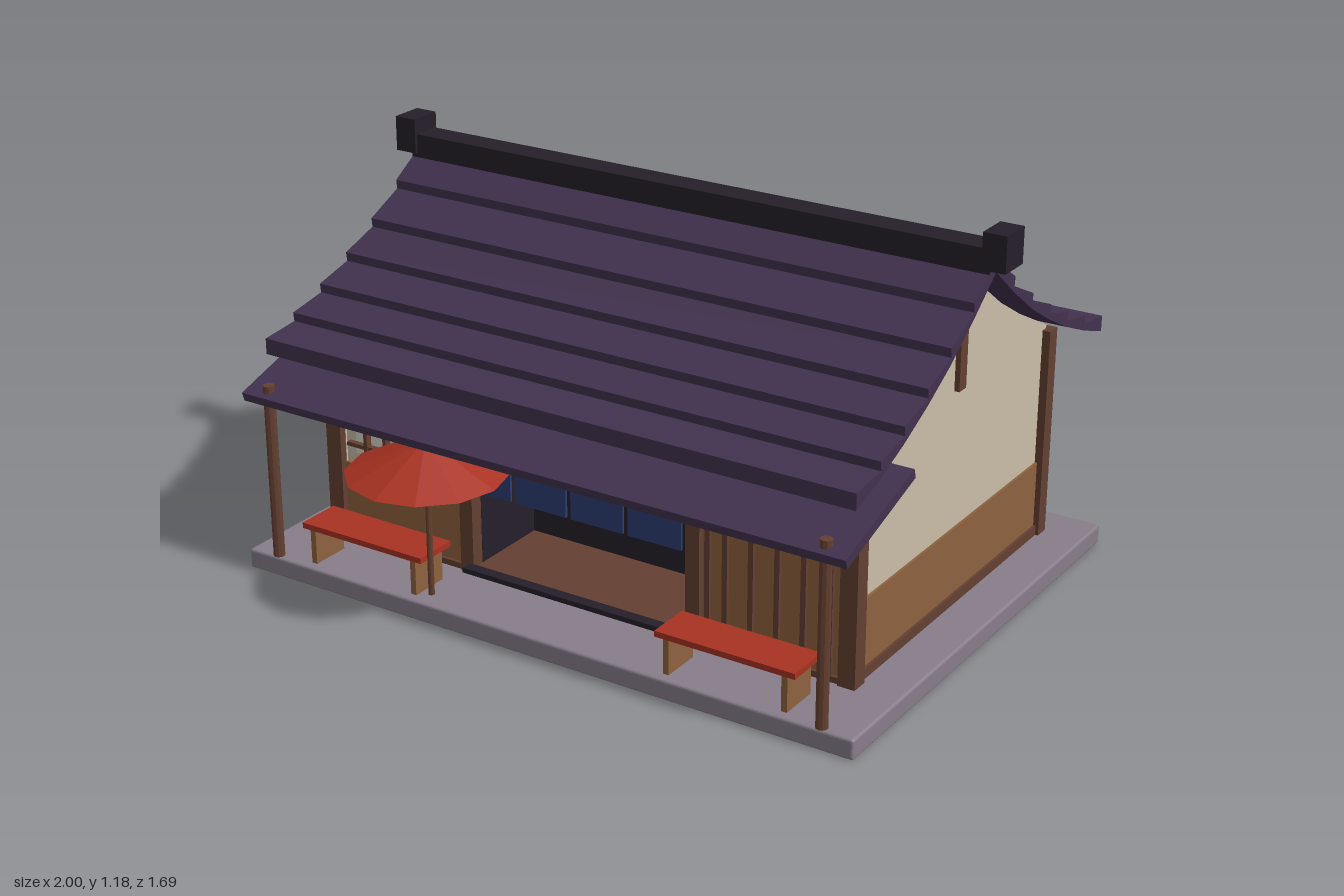
import * as THREE from 'three';
import { RoundedBoxGeometry } from 'three/addons/geometries/RoundedBoxGeometry.js';

const mat = (color, double = false) => new THREE.MeshStandardMaterial({
  color, flatShading: true, side: double ? THREE.DoubleSide : THREE.FrontSide });
const M = {
  stone: mat(0x877d8a), roof: mat(0x41314e), dark: mat(0x241f29), timber: mat(0x643f31),
  wood: mat(0x8f623e), plaster: mat(0xcabda8), paper: mat(0xd9d4ca), blue: mat(0x2f3d72),
  red: mat(0xa83222), redThin: mat(0xa83222, true), lantern: mat(0xc9a869),
};
const RIDGE_Z = -0.12, STEP = 0.121;
// Height of the roof underside at each board edge, from ridge to eave
const EAVE = [1.055, 0.96, 0.875, 0.805, 0.745, 0.695, 0.655];

export function createModel() {
  const root = new THREE.Group();

  function add(name, geometry, material, parent = root) {
    const mesh = new THREE.Mesh(geometry, material);
    mesh.name = name;
    parent.add(mesh);
    return mesh;
  }
  // Box given by its limits on each axis
  function box(name, [x0, x1], [y0, y1], [z0, z1], material, parent = root) {
    const mesh = add(name, new THREE.BoxGeometry(x1 - x0, y1 - y0, z1 - z0), material, parent);
    mesh.position.set((x0 + x1) / 2, (y0 + y1) / 2, (z0 + z1) / 2);
    return mesh;
  }
  function rod(name, radius, y0, y1, x, z, material, parent = root) {
    const mesh = add(name, new THREE.CylinderGeometry(radius, radius, y1 - y0, 10), material, parent);
    mesh.position.set(x, (y0 + y1) / 2, z);
    return mesh;
  }
  // Profile in (z, y) pushed along x and centred on x
  function alongX(name, points, width, x, material) {
    const shape = new THREE.Shape(points.map(([z, y]) => new THREE.Vector2(z, y)));
    const g = new THREE.ExtrudeGeometry(shape, { depth: width, bevelEnabled: false });
    g.translate(0, 0, -width / 2).rotateY(-Math.PI / 2);
    const mesh = add(name, g, material);
    mesh.position.set(x, 0, RIDGE_Z);
    return mesh;
  }

  // Ground slab
  add('baseSlab', new RoundedBoxGeometry(2, 0.06, 1.495, 2, 0.008), M.stone)
    .position.set(0, 0.03, -0.0725);

  // Main roof: overlapping boards following a concave sweep
  const top = [[0, EAVE[0] + 0.03]], under = [];
  EAVE.forEach((y, i) => {
    under.push([i * STEP, y]);
    if (!i) return;
    top.push([i * STEP, y + 0.047]);
    if (i < EAVE.length - 1) top.push([i * STEP - 0.003, y + 0.02]);
  });
  const flip = (list) => list.map(([d, y]) => [-d, y]);
  alongX('mainRoof', [
    ...top, ...under.slice().reverse(),
    ...flip(under.slice(1)), ...flip(top.slice(1)).reverse(),
  ], 1.9, 0, M.roof);

  // Ridge beam with end blocks
  box('ridgeBeam', [-0.95, 0.95], [1.05, 1.13], [-0.165, -0.08], M.dark);
  for (const s of [-1, 1]) {
    const end = box('ridgeEnd', [-0.035, 0.035], [1.073, 1.177], [-0.172, -0.07], M.dark);
    end.position.x = s * 0.965;
  }

  // Gable walls with wainscot, ground sill and centre strut
  const half = under.slice(1, 5);
  const gable = [[-0.55, 0.06], [0.55, 0.06], [0.55, 0.713],
    ...half.slice().reverse(), [0, 1.055], ...flip(half), [-0.55, 0.713]];
  for (const s of [-1, 1]) {
    alongX('gableWall', gable, 0.03, s * 0.84, M.plaster);
    const side = new THREE.Group();
    side.name = 'gableTrim';
    side.position.x = s * 0.85;
    root.add(side);
    box('sideWainscot', [-0.012, 0.012], [0.06, 0.29], [-0.66, 0.41], M.wood, side);
    box('sideSill', [-0.02, 0.02], [0.06, 0.09], [-0.66, 0.41], M.timber, side);
    box('gableStrut', [-0.02, 0.02], [0.705, 1.05], [-0.14, -0.1], M.timber, side);
  }

  // Back wall
  box('backWall', [-0.85, 0.85], [0.06, 0.705], [-0.685, -0.655], M.plaster);
  box('backWainscot', [-0.85, 0.85], [0.06, 0.29], [-0.69, -0.66], M.wood);
  box('backSill', [-0.85, 0.85], [0.06, 0.09], [-0.695, -0.66], M.timber);

  // Timber posts at the corners and beside the entrance
  for (const x of [-0.853, -0.378, 0.378, 0.853]) {
    const w = Math.abs(x) > 0.5 ? 0.026 : 0.022;
    box('frontPost', [x - w, x + w], [0.06, 0.7], [0.4, 0.452], M.timber);
    box('backPost', [x - w, x + w], [0.06, 0.7], [-0.697, -0.65], M.timber);
  }

  // Front wall: plaster bay with window, boarded bay, and the band over the door
  box('frontWallUpper', [-0.85, 0.85], [0.56, 0.71], [0.4, 0.425], M.plaster);
  box('windowBay', [-0.85, -0.36], [0.06, 0.57], [0.4, 0.425], M.plaster);
  box('windowWainscot', [-0.84, -0.38], [0.06, 0.29], [0.41, 0.435], M.wood);
  box('boardedBay', [0.36, 0.85], [0.06, 0.64], [0.405, 0.435], M.wood);
  for (const x of [0.42, 0.475, 0.555, 0.635, 0.715, 0.795]) {
    box('batten', [x - 0.008, x + 0.008], [0.06, 0.64], [0.43, 0.446], M.timber);
  }
  box('doorLintel', [-0.38, 0.38], [0.55, 0.6], [0.405, 0.45], M.timber);
  for (const x of [-0.61, 0.61]) {
    box('frontSill', [x - 0.23, x + 0.23], [0.06, 0.078], [0.41, 0.445], M.timber);
  }

  // Lattice window
  box('windowPaper', [-0.78, -0.44], [0.33, 0.585], [0.42, 0.438], M.paper);
  for (let i = 0; i < 5; i++) {
    const x = -0.73 + i * 0.07;
    box('latticeUpright', [x - 0.006, x + 0.006], [0.33, 0.585], [0.438, 0.458], M.timber);
  }
  for (const y of [0.36, 0.435, 0.51, 0.58]) {
    box('latticeRail', [-0.8, -0.42], [y - 0.006, y + 0.006], [0.438, 0.455], M.timber);
  }

  // Entrance recess, floor and threshold
  box('recessBack', [-0.83, 0.83], [0.06, 0.7], [0.14, 0.16], M.dark);
  for (const x of [-0.365, 0.365]) {
    box('recessSide', [x - 0.01, x + 0.01], [0.06, 0.6], [0.15, 0.41], M.dark);
  }
  box('entranceFloor', [-0.36, 0.36], [0.06, 0.08], [0.15, 0.45], M.timber);
  box('threshold', [-0.37, 0.37], [0.075, 0.09], [0.45, 0.485], M.dark);

  // Door curtain: four panels with pale patches
  const bar = rod('curtainRod', 0.008, -0.39, 0.39, 0, 0.48, M.timber);
  bar.rotation.z = Math.PI / 2;
  bar.position.y = 0.55;
  for (let i = 0; i < 4; i++) {
    const x = -0.279 + i * 0.186;
    box('curtainPanel', [x - 0.085, x + 0.085], [0.34, 0.55], [0.478, 0.486], M.blue);
    box('curtainPatch', [x - 0.037, x + 0.037], [0.465, 0.495], [0.485, 0.489], M.paper);
  }

  // Plain board over the door
  box('doorBoardFrame', [-0.2, 0.2], [0.585, 0.68], [0.445, 0.465], M.timber);
  box('doorBoardFace', [-0.19, 0.19], [0.592, 0.672], [0.455, 0.469], M.dark);

  // Sloping awning on round posts
  const awning = add('awning', new THREE.BoxGeometry(1.945, 0.028, 0.365), M.roof);
  awning.position.set(0, 0.605, 0.515);
  awning.rotation.x = 0.315;
  for (const x of [-0.9, 0.9]) rod('awningPost', 0.017, 0.06, 0.59, x, 0.66, M.timber);

  // Benches
  for (const s of [-1, 1]) {
    const bench = new THREE.Group();
    bench.name = 'bench';
    bench.position.x = s * 0.6;
    root.add(bench);
    box('benchSeat', [-0.213, 0.213], [0.165, 0.182], [0.515, 0.65], M.red, bench);
    for (const x of [-0.18, 0.18]) {
      box('benchLeg', [x - 0.009, x + 0.009], [0.06, 0.165], [0.525, 0.645], M.wood, bench);
    }
  }

  // Parasol
  const parasol = new THREE.Group();
  parasol.name = 'parasol';
  parasol.position.set(-0.38, 0, 0.615);
  root.add(parasol);
  rod('parasolPole', 0.009, 0.06, 0.525, 0, 0, M.timber, parasol);
  add('parasolCanopy', new THREE.ConeGeometry(0.23, 0.1, 12, 1, true), M.redThin, parasol)
    .position.y = 0.485;

  // Hanging lanterns
  for (const x of [-0.435, 0.435]) {
    const lantern = new THREE.Group();
    lantern.name = 'lantern';
    lantern.position.set(x, 0.537, 0.54);
    root.add(lantern);
    add('lanternBody', new THREE.SphereGeometry(0.036, 10, 8), M.lantern, lantern).scale.y = 1.35;
    for (const y of [-0.046, 0.046]) rod('lanternCap', 0.016, y - 0.006, y + 0.006, 0, 0, M.dark, lantern);
    rod('lanternCord', 0.003, 0.046, 0.07, 0, 0, M.dark, lantern);
  }

  return root;
}
